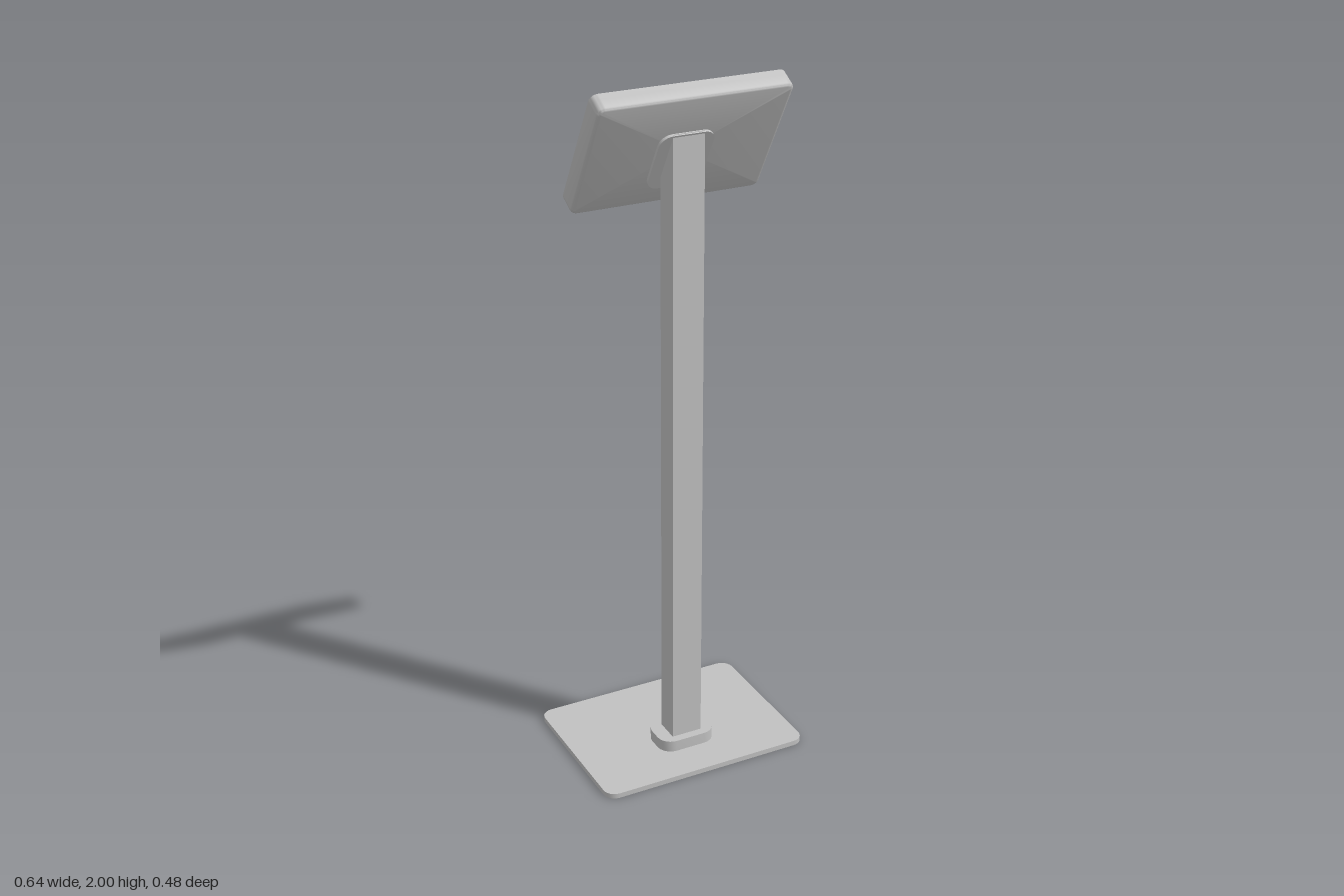
import * as THREE from 'three';
import { toCreasedNormals } from 'three/addons/utils/BufferGeometryUtils.js';

const gray = new THREE.MeshStandardMaterial({ color: 0xc0c0c0 });
gray.name = 'light gray';

// Counter-clockwise rounded rectangle centred on the origin
function roundedRect(halfW, halfH, r, steps = 6) {
  const points = [];
  [[1, 1], [-1, 1], [-1, -1], [1, -1]].forEach(([sx, sy], corner) => {
    for (let i = 0; i <= steps; i++) {
      const a = (corner + i / steps) * Math.PI / 2;
      points.push(new THREE.Vector2(
        sx * (halfW - r) + r * Math.cos(a),
        sy * (halfH - r) + r * Math.sin(a)));
    }
  });
  return points;
}

function slab(points, depth, hole) {
  const shape = new THREE.Shape(points);
  if (hole) shape.holes.push(new THREE.Path(hole));
  return toCreasedNormals(new THREE.ExtrudeGeometry(shape, { depth, bevelEnabled: false }), 0.6);
}

function part(name, geometry, parent) {
  const mesh = new THREE.Mesh(geometry, gray);
  mesh.name = name;
  parent.add(mesh);
  return mesh;
}

// Tray with rounded side corners, a filleted back edge and a closed back
function shellGeometry(halfW, halfH, r, front, back, fillet) {
  const rings = [[0, front]];
  for (let i = 0; i <= 5; i++) {
    const a = i / 5 * Math.PI / 2;
    rings.push([fillet * (1 - Math.cos(a)), back - fillet * (1 - Math.sin(a))]);
  }
  const positions = [], index = [];
  let n = 0;
  for (const [inset, z] of rings) {
    const ring = roundedRect(halfW - inset, halfH - inset, r - inset);
    n = ring.length;
    for (const p of ring) positions.push(p.x, p.y, z);
  }
  for (let k = 0; k < rings.length - 1; k++) {
    for (let i = 0; i < n; i++) {
      const j = (i + 1) % n, a = k * n + i, b = k * n + j;
      index.push(a, b, b + n, a, b + n, a + n);
    }
  }
  const last = (rings.length - 1) * n, centre = rings.length * n;
  positions.push(0, 0, back);
  for (let i = 0; i < n; i++) index.push(last + i, last + (i + 1) % n, centre);
  const geometry = new THREE.BufferGeometry();
  geometry.setAttribute('position', new THREE.Float32BufferAttribute(positions, 3));
  geometry.setIndex(index);
  return toCreasedNormals(geometry, 0.6);
}

// Upright with a slot down its back and a top cut to meet the tilted head
function postGeometry() {
  const shape = new THREE.Shape([
    [-0.046, -0.036], [0.046, -0.036], [0.046, 0.036], [0.01, 0.036],
    [0.01, 0.014], [-0.01, 0.014], [-0.01, 0.036], [-0.046, 0.036],
  ].map(([x, y]) => new THREE.Vector2(x, y)));
  const geometry = new THREE.ExtrudeGeometry(shape, { depth: 1, bevelEnabled: false });
  geometry.rotateX(-Math.PI / 2);
  geometry.translate(0, 0, 0.066);
  const pos = geometry.attributes.position;
  for (let i = 0; i < pos.count; i++) {
    const top = 1.715 + 1.732 * (pos.getZ(i) - 0.015);
    pos.setY(i, pos.getY(i) > 0.5 ? top : 0.04);
  }
  geometry.computeVertexNormals();
  return geometry;
}

export function createModel() {
  const model = new THREE.Group();
  model.name = 'displayStand';

  // Floor plate, collar and upright
  const base = part('basePlate', slab(roundedRect(0.32, 0.24, 0.035), 0.015), model);
  base.rotation.x = -Math.PI / 2;
  const collar = part('collar', slab(roundedRect(0.087, 0.06, 0.042), 0.035), model);
  collar.rotation.x = -Math.PI / 2;
  collar.position.set(0, 0.014, 0.067);
  part('post', postGeometry(), model);

  // Tilted head: local -z is the screen side, local +z its back
  const head = new THREE.Group();
  head.name = 'head';
  head.position.set(0, 1.837, 0.015);
  head.rotation.x = Math.PI / 6;
  model.add(head);

  const halfW = 0.279, halfH = 0.188, corner = 0.022, recess = 0.02, back = 0.057;
  part('bezel', slab(roundedRect(halfW, halfH, corner), recess,
    roundedRect(0.242, 0.152, 0.005)), head);
  part('backShell', shellGeometry(halfW, halfH, corner, recess, back, 0.012), head);
  const screen = part('screen', new THREE.PlaneGeometry(0.486, 0.306), head);
  screen.rotation.y = Math.PI;
  screen.position.z = recess - 0.0005;
  const mount = part('mountPlate', slab(roundedRect(0.08, 0.095, 0.035), 0.009), head);
  mount.position.set(0, -0.028, back - 0.001);

  return model;
}
